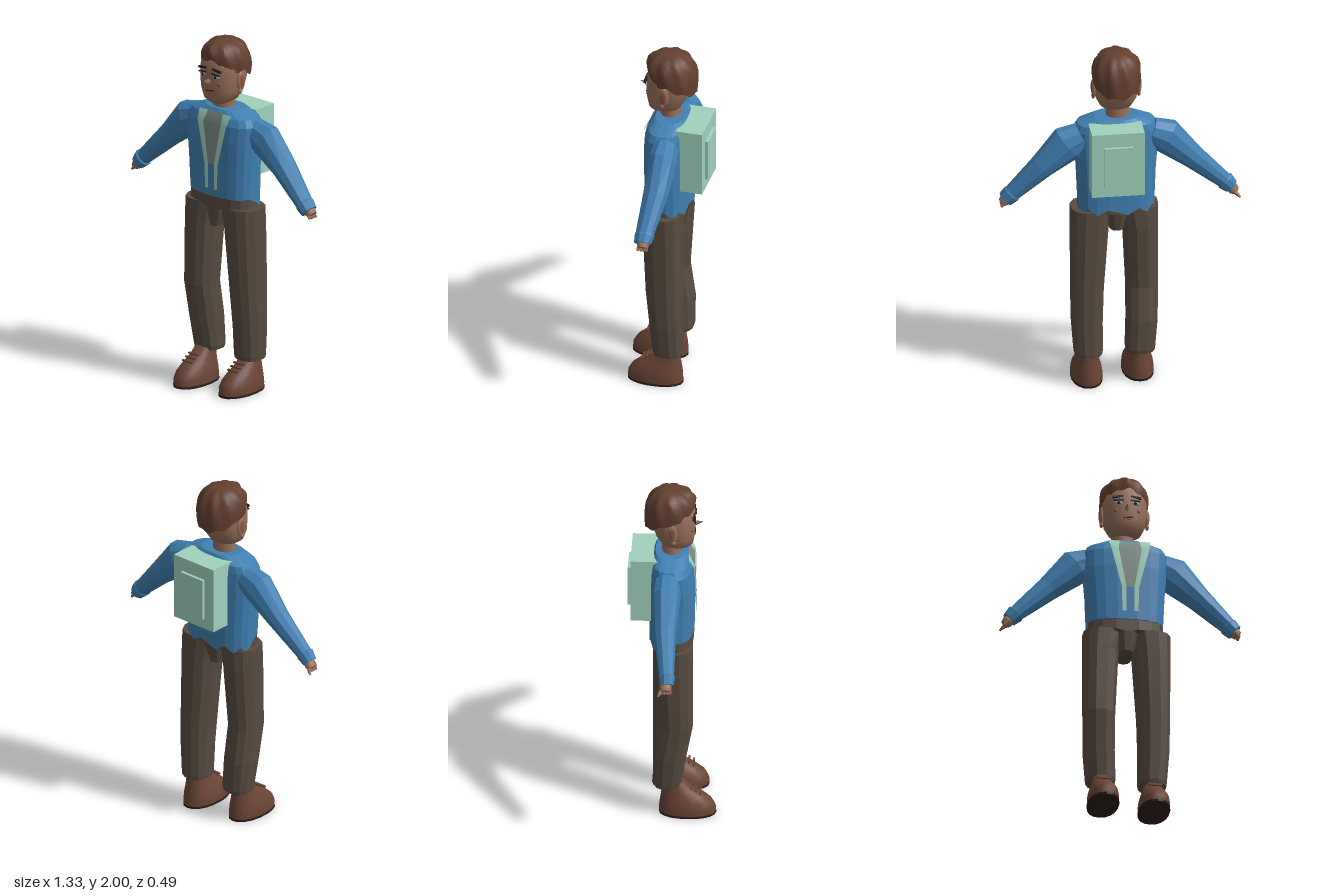
import * as THREE from 'three';
import { toCreasedNormals } from 'three/addons/utils/BufferGeometryUtils.js';

const V = (x, y, z) => new THREE.Vector3(x, y, z);
const colours = {
  skin: 0x97705a, hair: 0x633f30, jacket: 0x4080b2, trousers: 0x574b40, shoe: 0x6b4435,
  mint: 0xa0d2bd, shirt: 0x7c8c85, dark: 0x2a1d19, eye: 0x86a8b8, blush: 0x8a5540,
};
const mats = {};
for (const [name, color] of Object.entries(colours)) {
  mats[name] = new THREE.MeshStandardMaterial({ color });
  mats[name].name = name;
}
const FLAT = 0.05, SMOOTH = 0.9;

// Skin over equal-length rings, closed at both ends
function loft(rings, crease) {
  const n = rings[0].length, pos = [], idx = [];
  rings.forEach(r => r.forEach(p => pos.push(p.x, p.y, p.z)));
  for (let i = 0; i < rings.length - 1; i++) for (let j = 0; j < n; j++) {
    const k = (j + 1) % n, a = i * n + j, b = i * n + k, c = a + n, d = b + n;
    idx.push(a, b, d, a, d, c);
  }
  [0, rings.length - 1].forEach((row, end) => {
    const mid = rings[row].reduce((s, p) => s.add(p), V(0, 0, 0)).divideScalar(n);
    const m = pos.length / 3;
    pos.push(mid.x, mid.y, mid.z);
    for (let j = 0; j < n; j++) {
      const a = row * n + j, b = row * n + (j + 1) % n;
      if (end) idx.push(m, a, b); else idx.push(m, b, a);
    }
  });
  const g = new THREE.BufferGeometry();
  g.setAttribute('position', new THREE.Float32BufferAttribute(pos, 3));
  g.setIndex(idx);
  return toCreasedNormals(g, crease);
}

// Horizontal superellipse: left and right x, front and back z
function ring([y, x0, x1, zf, zb], n, power = 2) {
  return Array.from({ length: n }, (_, j) => {
    const a = (j + 0.5) / n * Math.PI * 2;
    const s = v => Math.sign(v) * Math.abs(v) ** (2 / power);
    return V((x0 + x1) / 2 + s(Math.cos(a)) * (x1 - x0) / 2, y,
      (zf + zb) / 2 - s(Math.sin(a)) * (zf - zb) / 2);
  });
}
const stack = (rows, n, power, crease) => loft(rows.map(r => ring(r, n, power)), crease);

// Limb whose path lies near the xy plane; rows are x, y, z, radius, depth radius
function limb(rows, n, crease) {
  return loft(rows.map((r, i) => {
    const a = rows[Math.max(i - 1, 0)], b = rows[Math.min(i + 1, rows.length - 1)];
    const d = V(b[0] - a[0], b[1] - a[1], 0).normalize(), u = V(-d.y, d.x, 0);
    return Array.from({ length: n }, (_, j) => {
      const t = (j + 0.5) / n * Math.PI * 2;
      return V(r[0], r[1], r[2]).addScaledVector(u, Math.cos(t) * r[3])
        .add(V(0, 0, Math.sin(t) * r[4]));
    });
  }), crease);
}

// Front-facing strip; rows are y, left x, right x, z
function ribbon(rows) {
  const pos = [], idx = [];
  rows.forEach(([y, a, b, z], i) => {
    pos.push(a, y, z, b, y, z);
    const k = i * 2;
    if (i) idx.push(k - 2, k, k + 1, k - 2, k + 1, k - 1);
  });
  const g = new THREE.BufferGeometry();
  g.setAttribute('position', new THREE.Float32BufferAttribute(pos, 3));
  g.setIndex(idx);
  g.computeVertexNormals();
  return g;
}

export function createModel() {
  const model = new THREE.Group();
  const add = (name, geo, mat, x = 0, y = 0, z = 0) => {
    const m = new THREE.Mesh(geo, mats[mat]);
    m.name = name;
    m.position.set(x, y, z);
    model.add(m);
    return m;
  };
  const ball = (name, mat, x, y, z, sx, sy, sz) =>
    add(name, new THREE.SphereGeometry(1, 14, 10), mat, x, y, z).scale.set(sx, sy, sz);
  const bar = (name, mat, w, h, d, x, y, z) => add(name, new THREE.BoxGeometry(w, h, d), mat, x, y, z);

  // Jacket body with a ragged hem at the back
  const torso = [
    [1.12, -0.188, 0.232, 0.118, -0.128], [1.3, -0.198, 0.24, 0.12, -0.128],
    [1.44, -0.21, 0.25, 0.12, -0.125], [1.54, -0.21, 0.255, 0.112, -0.12],
    [1.58, -0.19, 0.235, 0.096, -0.115], [1.615, -0.1, 0.14, 0.07, -0.095],
  ].map(r => ring(r, 20, 2.7));
  torso[0].forEach((p, j) => { if (p.z < -0.03) p.y = j % 2 ? 1.05 : 1.085; });
  add('jacketBody', loft(torso, FLAT), 'jacket');
  add('shirtPanel', ribbon([[1.6, -0.05, 0.122, 0.086], [1.54, -0.045, 0.115, 0.117],
    [1.31, 0, 0.072, 0.124]]), 'shirt');
  for (const s of [-1, 1]) {
    const rows = [[1.6, 0.055, 0.115, 0.09], [1.54, 0.063, 0.104, 0.12],
      [1.31, 0.022, 0.048, 0.127], [1.165, 0.022, 0.044, 0.126]];
    add('lapel', ribbon(rows.map(([y, a, b, z]) =>
      s > 0 ? [y, 0.036 + a, 0.036 + b, z] : [y, 0.036 - b, 0.036 - a, z])), 'mint');
  }

  // Sleeves and hands
  add('rightSleeve', limb([[-0.17, 1.51, -0.025, 0.075, 0.07], [-0.25, 1.475, -0.025, 0.1, 0.08],
    [-0.4, 1.335, -0.025, 0.067, 0.062], [-0.575, 1.17, -0.008, 0.045, 0.042],
    [-0.58, 1.165, -0.005, 0.052, 0.046], [-0.615, 1.128, -0.005, 0.042, 0.038]], 10, FLAT), 'jacket');
  add('leftSleeve', limb([[0.21, 1.51, -0.03, 0.075, 0.07], [0.29, 1.468, -0.035, 0.105, 0.08],
    [0.43, 1.338, -0.035, 0.07, 0.07], [0.59, 1.178, -0.018, 0.047, 0.052],
    [0.597, 1.17, -0.018, 0.052, 0.055], [0.63, 1.137, -0.015, 0.045, 0.048]], 10, FLAT), 'jacket');
  for (const [side, s, x, y, z] of [['right', -1, -0.6, 1.14, -0.01], ['left', 1, 0.61, 1.158, -0.02]]) {
    add(side + 'Hand', limb([[x, y, z, 0.028, 0.03], [x + s * 0.025, y - 0.025, z, 0.032, 0.035],
      [x + s * 0.04, y - 0.038, z, 0.024, 0.03]], 8, SMOOTH), 'skin');
    for (let i = 0; i < 4; i++) {
      const f = add(side + 'Finger', new THREE.CapsuleGeometry(0.008, 0.018, 3, 6), 'skin',
        x + s * 0.036, y - 0.043, z - 0.023 + i * 0.016);
      f.rotation.z = s * 0.7;
    }
  }
  add('rightForefinger', limb([[-0.63, 1.105, -0.035, 0.011, 0.01], [-0.648, 1.092, -0.043, 0.01, 0.01],
    [-0.66, 1.08, -0.05, 0.005, 0.006]], 6, SMOOTH), 'skin');

  // Trousers
  add('hips', stack([[0.94, -0.02, 0.065, 0.1, -0.09], [1.05, -0.045, 0.095, 0.115, -0.118],
    [1.06, -0.188, 0.232, 0.115, -0.118], [1.14, -0.186, 0.23, 0.112, -0.118]], 16, 2.7, FLAT), 'trousers');
  add('rightLeg', stack([[0.18, -0.19, -0.03, 0.05, -0.1], [0.2, -0.193, -0.026, 0.055, -0.105],
    [0.37, -0.208, -0.033, 0.082, -0.105], [0.57, -0.213, -0.035, 0.118, -0.075],
    [0.94, -0.213, -0.016, 0.118, -0.1], [1.065, -0.213, 0.01, 0.115, -0.1]], 12, 2.4, FLAT), 'trousers');
  add('leftLeg', stack([[0.18, 0.1, 0.255, 0.045, -0.118], [0.2, 0.097, 0.258, 0.05, -0.12],
    [0.37, 0.097, 0.27, 0.065, -0.12], [0.57, 0.09, 0.273, 0.085, -0.12],
    [0.94, 0.062, 0.273, 0.105, -0.118], [1.065, 0.04, 0.273, 0.108, -0.115]], 12, 2.4, FLAT), 'trousers');

  // Shoes with soles and laces
  for (const [side, x, toe] of [['right', -0.11, 0.24], ['left', 0.178, 0.19]]) {
    const heel = toe - 0.31;
    const shell = [[0.01, 0.085, 0, 0], [0.04, 0.086, 0, 0], [0.08, 0.08, 0.022, 0.004],
      [0.115, 0.069, 0.065, 0.01], [0.15, 0.058, 0.125, 0.015], [0.2, 0.05, 0.18, 0.02]];
    add(side + 'Shoe', stack(shell.map(([y, r, f, b]) => [y, x - r, x + r, toe - f, heel + b]),
      18, 2.2, SMOOTH), 'shoe');
    add(side + 'Sole', stack([0, 0.012].map(y => [y, x - 0.087, x + 0.087, toe + 0.002, heel - 0.002]),
      18, 2.2, FLAT), 'dark');
    for (let i = 0; i < 3; i++)
      bar(side + 'Lace', 'shoe', 0.075, 0.008, 0.012, x, 0.135 + i * 0.015, toe - 0.085 - i * 0.025);
  }

  // Backpack
  bar('backpack', 'mint', 0.29, 0.38, 0.15, 0.036, 1.41, -0.153);
  bar('backpackPocket', 'mint', 0.16, 0.24, 0.02, 0.036, 1.4, -0.235);

  // Neck and head
  add('neck', stack([[1.58, -0.055, 0.077, 0.05, -0.06], [1.7, -0.05, 0.075, 0.05, -0.06]], 14, 2, SMOOTH), 'skin');
  const cx = 0.018;
  add('head', stack([[1.648, 0.055, 0.09, -0.03], [1.67, 0.09, 0.112, -0.065], [1.72, 0.114, 0.12, -0.095],
    [1.79, 0.122, 0.125, -0.118], [1.85, 0.124, 0.122, -0.125], [1.9, 0.118, 0.113, -0.125],
    [1.95, 0.085, 0.075, -0.09]].map(([y, r, f, b]) => [y, cx - r, cx + r, f, b]), 24, 2.3, 1.2), 'skin');

  // Swept hair: ridges spiral out from the crown to a hairline
  const hair = [];
  for (let i = -1; i <= 10; i++) {
    const t = Math.max(i, 0) / 10.3;
    hair.push(Array.from({ length: 48 }, (_, j) => {
      const a = j / 48 * Math.PI * 2, c = Math.cos(a), f = -Math.sin(a);
      const wave = Math.cos(9 * a + 4 * t);
      const edge = 1.838 + (f > 0 ? 0.065 * f ** 3 : 0.068 * f) + 0.008 * wave;
      const rise = Math.sin(t * Math.PI / 2);
      let r = Math.cos(t * Math.PI / 2) ** 0.65 * (0.93 + 0.07 * Math.sin(t * Math.PI));
      r *= 1 + 0.045 * wave * (0.3 + 0.7 * Math.sin(t * Math.PI));
      if (i < 0) r *= 0.82;
      return V(cx + 0.142 * r * c, edge + (2 - edge) * rise + (i < 0 ? 0.015 : 0),
        -0.02 + (f > 0 ? 0.152 : 0.145) * r * f);
    }));
  }
  add('hair', loft(hair, 0.6), 'hair');

  // Face
  for (const s of [-1, 1]) {
    const x = cx + s * 0.046;
    ball('eye', 'eye', x, 1.815, 0.114, 0.025, 0.013, 0.011);
    ball('pupil', 'dark', x, 1.815, 0.121, 0.009, 0.01, 0.007);
    bar('eyelid', 'dark', 0.056, 0.006, 0.012, x, 1.829, 0.121).rotation.z = -s * 0.08;
    bar('eyebrow', 'dark', 0.06, 0.011, 0.012, x + s * 0.004, 1.852, 0.116).rotation.z = -s * 0.15;
    ball('cheekSpot', 'blush', cx + s * 0.062, 1.773, 0.108, 0.012, 0.012, 0.008);
    ball('ear', 'skin', cx + s * 0.124, 1.78, 0, 0.014, 0.058, 0.03);
    ball('earHollow', 'blush', cx + s * 0.134, 1.785, 0, 0.006, 0.038, 0.017);
    ball('earLobe', 'skin', cx + s * 0.126, 1.725, 0.008, 0.01, 0.016, 0.014);
  }
  const nose = add('nose', new THREE.ConeGeometry(0.024, 0.065, 4), 'skin', cx, 1.785, 0.135);
  nose.rotation.x = 1.35;
  bar('mouth', 'dark', 0.055, 0.006, 0.012, cx + 0.004, 1.728, 0.118).rotation.z = 0.12;
  bar('lowerLip', 'blush', 0.034, 0.006, 0.012, cx + 0.004, 1.718, 0.117);
  return model;
}
